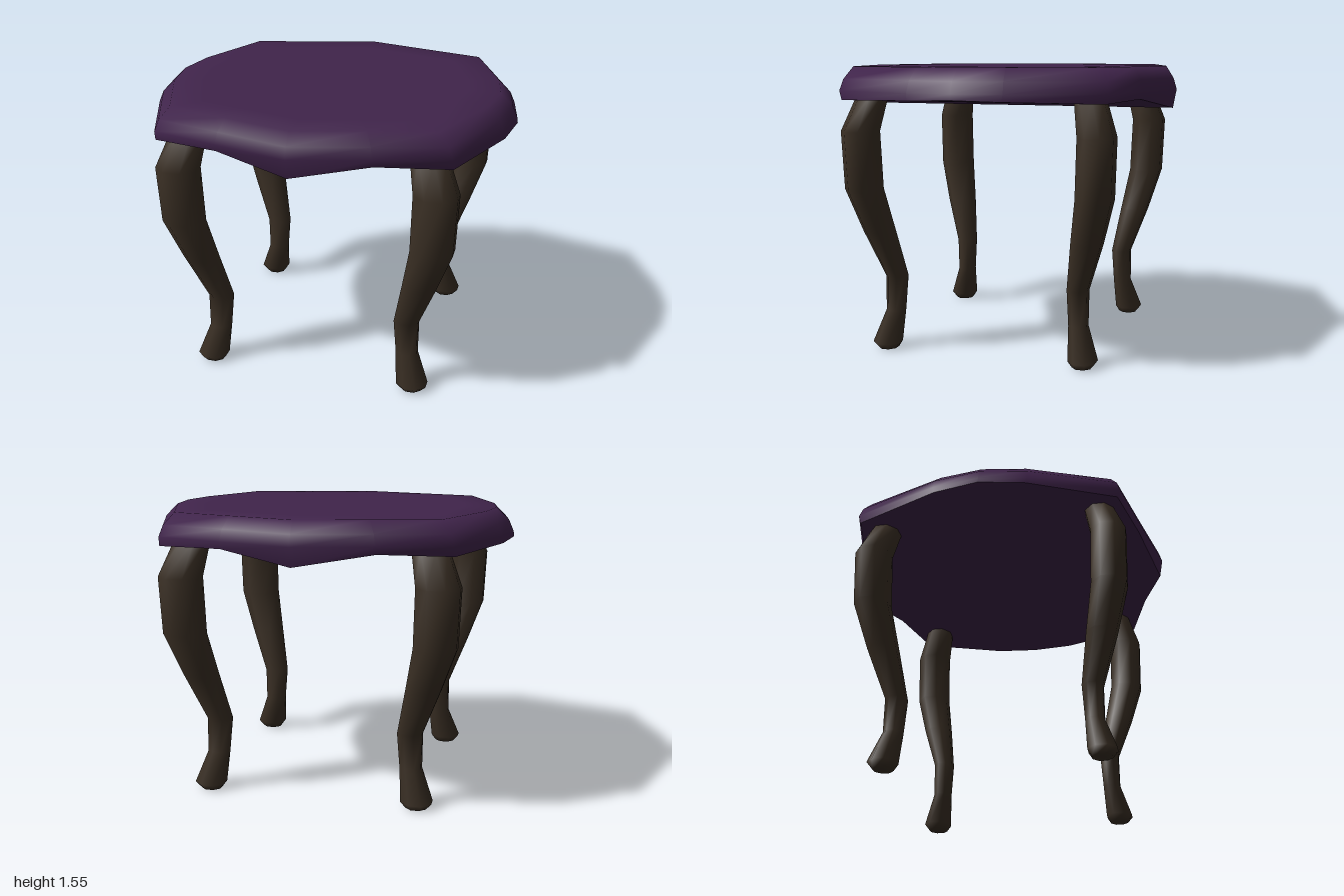
import * as THREE from 'three';

const purple = new THREE.MeshStandardMaterial({ color: 0x40244b });
purple.name = 'dark purple';
const wood = new THREE.MeshStandardMaterial({ color: 0x3a2f24 });
wood.name = 'dark wood';

function geometryFrom(points, index) {
  const g = new THREE.BufferGeometry();
  g.setAttribute('position', new THREE.Float32BufferAttribute(points.flat(), 3));
  g.setIndex(index);
  g.computeVertexNormals();
  return g;
}

// Joins rings (listed from low to high, each running from +x to +z) with optional end caps
function loft(rings, capBottom, capTop) {
  const n = rings[0].length;
  const points = rings.flat();
  const index = [];
  for (let i = 0; i < rings.length - 1; i++) {
    for (let j = 0; j < n; j++) {
      const k = (j + 1) % n;
      const a = i * n + j, b = i * n + k, c = a + n, d = b + n;
      index.push(a, c, b, b, c, d);
    }
  }
  const cap = (start, up) => {
    const centre = [0, 1, 2].map((m) => {
      let sum = 0;
      for (let j = 0; j < n; j++) sum += points[start + j][m];
      return sum / n;
    });
    const at = points.length;
    points.push(centre);
    for (let j = 0; j < n; j++) {
      const a = start + j, b = start + (j + 1) % n;
      index.push(at, up ? b : a, up ? a : b);
    }
  };
  if (capBottom) cap(0, false);
  if (capTop) cap((rings.length - 1) * n, true);
  return geometryFrom(points, index);
}

// Quarter outline of the top with the height of its wavy lower edge: x, z, y
const quarter = [
  [1, 0, 1.395], [0.96, 0.25, 1.388], [0.77, 0.72, 1.376], [0.4, 0.815, 1.386], [0, 0.92, 1.323],
];
const half = [...quarter, ...quarter.slice(0, 4).reverse().map(([x, z, y]) => [-x, z, y])];
const outline = [...half, ...half.slice(1, 8).reverse().map(([x, z, y]) => [x, -z, y])];

function tabletop() {
  const group = new THREE.Group();
  group.name = 'tabletop';
  const edge = outline.map(([x, z, y]) => [x, y, z * 0.98]);
  const ring = (sx, sz, y) => outline.map(([x, z]) => [x * sx, y, z * sz]);

  // Rounded rim and flat top
  const shell = new THREE.Mesh(loft([
    edge, ring(0.995, 1, 1.425), ring(0.968, 0.98, 1.485),
    ring(0.9, 0.935, 1.55), ring(0.72, 0.75, 1.551),
  ], false, true), purple);
  shell.name = 'topAndRim';

  // Underside spans straight from the front edge to the back edge
  const index = [];
  for (let j = 0; j < 8; j++) {
    const p = j, q = j + 1, m = (16 - j) % 16, r = 15 - j;
    if (j < 7) index.push(q, r, m);
    if (j > 0) index.push(p, q, m);
    if (j === 7) continue;
  }
  const underside = new THREE.Mesh(geometryFrom(edge, index), purple);
  underside.name = 'underside';
  group.add(shell, underside);
  return group;
}

// Curved leg sections: y, inner x, outer x, inner z, outer z
const sections = [
  [0, 0.525, 0.635, 0.505, 0.605],
  [0.035, 0.5, 0.665, 0.485, 0.632],
  [0.21, 0.485, 0.6, 0.475, 0.572],
  [0.4, 0.468, 0.6, 0.463, 0.572],
  [0.66, 0.52, 0.7, 0.503, 0.66],
  [0.9, 0.565, 0.785, 0.543, 0.727],
  [1.21, 0.573, 0.797, 0.553, 0.737],
  [1.4, 0.54, 0.72, 0.52, 0.67],
];

function leg(sx, sz) {
  const sides = 8;
  const rings = sections.map(([y, x0, x1, z0, z1]) => {
    const cx = (x0 + x1) / 2 * sx, cz = (z0 + z1) / 2 * sz;
    const grow = 1 / Math.cos(Math.PI / sides) / 2;
    return Array.from({ length: sides }, (_, j) => {
      const t = (j + 0.5) / sides * Math.PI * 2;
      return [cx + Math.cos(t) * (x1 - x0) * grow, y, cz + Math.sin(t) * (z1 - z0) * grow];
    });
  });
  const mesh = new THREE.Mesh(loft(rings, true, true), wood);
  mesh.name = (sz > 0 ? 'front' : 'back') + (sx > 0 ? 'Left' : 'Right') + 'Leg';
  return mesh;
}

export function createModel() {
  const model = new THREE.Group();
  model.name = 'table';
  model.add(tabletop());
  for (const sx of [-1, 1]) for (const sz of [-1, 1]) model.add(leg(sx, sz));
  return model;
}
